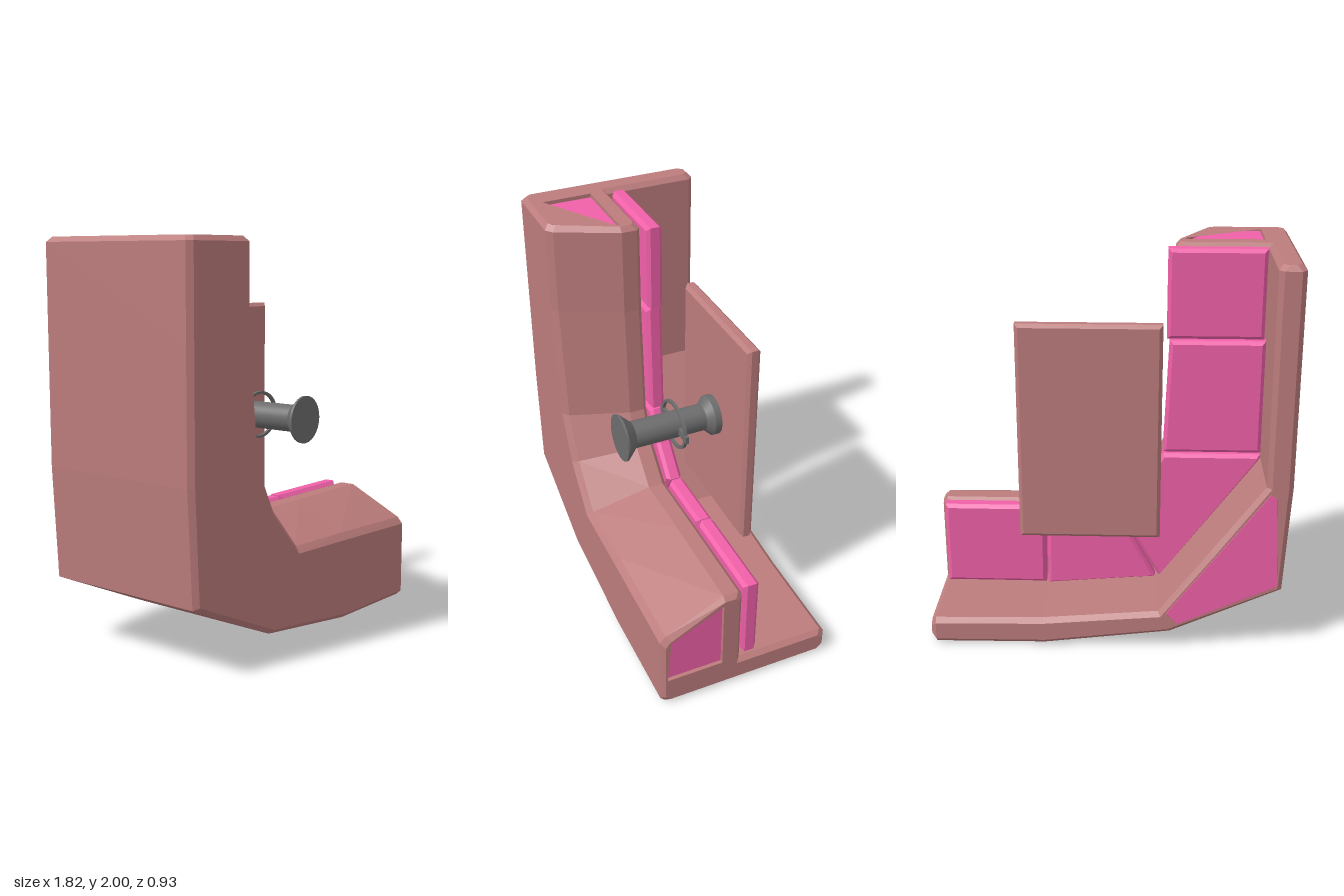
import * as THREE from 'three';
import { toCreasedNormals } from 'three/addons/utils/BufferGeometryUtils.js';

const brown = new THREE.MeshStandardMaterial({ color: 0xbc7c7c, flatShading: true, side: THREE.DoubleSide });
const pink = new THREE.MeshStandardMaterial({ color: 0xf060a8, flatShading: true, side: THREE.DoubleSide });
const grey = new THREE.MeshStandardMaterial({ color: 0x6c6c6c });

// Stations along the bent frame: outer wall, inner wall, front rim, back rim (x, y)
const stations = [
  [[-0.91, 1.975], [-0.78, 1.975], [-0.49, 1.975], [-0.325, 1.975]],
  [[-0.91, 1.53], [-0.78, 1.53], [-0.49, 1.53], [-0.32, 1.53]],
  [[-0.91, 0.9], [-0.78, 0.9], [-0.42, 0.92], [-0.28, 0.93]],
  [[-0.88, 0.34], [-0.52, 0.55], [-0.3, 0.68], [-0.19, 0.75]],
  [[-0.32, 0.085], [-0.26, 0.2], [-0.1, 0.46], [-0.03, 0.595]],
  [[0.32, 0.005], [0.33, 0.15], [0.3, 0.45], [0.34, 0.6]],
  [[0.885, 0], [0.885, 0.14], [0.885, 0.43], [0.885, 0.6]],
].map(s => s.map(p => new THREE.Vector2(...p)));

const toward = (a, b, d) => a.clone().add(b.clone().sub(a).setLength(d));

// Chamfered cross-section at a station; c shrinks it for the chamfered ends
function section([o, m, f, b], c = 0) {
  const O = toward(o, m, c + 1e-5), M = toward(m, o, c + 1e-5), F = toward(f, o, c + 1e-5), B = toward(b, o, c + 1e-5);
  const e = 0.465 - c, k = 0.03 + c;
  return [
    [toward(O, M, 0.025), -e], [O, -e + 0.025], [O, e - 0.025], [toward(O, F, 0.025), e],
    [toward(F, O, 0.015), e], [toward(F, B, 0.02), e - 0.03], [B, 0.13], [B, k + 0.02],
    [toward(B, O, 0.02), k], [M, k], [M, -e + 0.025], [toward(M, O, 0.025), -e],
  ].map(([p, z]) => new THREE.Vector3(p.x, p.y, z));
}

function fromTriangles(points) {
  const g = new THREE.BufferGeometry().setFromPoints(points);
  g.computeVertexNormals();
  return g;
}

// Skin between successive closed loops
function loft(loops) {
  const t = [];
  for (let i = 0; i + 1 < loops.length; i++) {
    const p = loops[i], q = loops[i + 1], n = p.length;
    for (let j = 0; j < n; j++) {
      const k = (j + 1) % n;
      t.push(p[j], q[j], q[k], p[j], q[k], p[k]);
    }
  }
  return fromTriangles(t);
}

// Flat cap with an optional hole; flat() gives the plane coordinates
function cap(loop, hole, flat, normal) {
  const all = [...loop, ...hole];
  const t = [];
  const faces = THREE.ShapeUtils.triangulateShape(loop.map(flat), hole.length ? [hole.map(flat)] : []);
  for (const [a, b, c] of faces) {
    const n = all[b].clone().sub(all[a]).cross(all[c].clone().sub(all[a]));
    t.push(...(n.dot(normal) >= 0 ? [all[a], all[b], all[c]] : [all[a], all[c], all[b]]));
  }
  return fromTriangles(t);
}

const shapeOf = pts => new THREE.Shape(pts.map(p => new THREE.Vector2(...p)));

// Slab with bevelled edges between z0 and z1
function slab(pts, z0, z1, bevel) {
  const g = new THREE.ExtrudeGeometry(shapeOf(pts), {
    depth: z1 - z0 - 2 * bevel, bevelSize: bevel, bevelThickness: bevel, bevelOffset: -bevel, bevelSegments: 1,
  });
  return g.translate(0, 0, z0 + bevel);
}

export function createModel() {
  const model = new THREE.Group();
  const add = (name, geometry, material, parent = model) => {
    const mesh = new THREE.Mesh(geometry, material);
    mesh.name = name;
    parent.add(mesh);
    return mesh;
  };

  // Bent frame with chamfered ends
  const end = (s, dx, dy) => section(s, 0.022).map(p => p.add(new THREE.Vector3(dx, dy, 0)));
  const topLoop = end(stations[0], 0, 0.025);
  const sideLoop = end(stations[6], 0.025, 0);
  add('frame', loft([topLoop, ...stations.map(s => section(s)), sideLoop]), brown);

  // Ends with recessed coloured insets
  const ends = [
    ['top', topLoop, [[-0.77, 0.125], [-0.365, 0.125], [-0.505, 0.43], [-0.77, 0.43]],
      (u, z) => new THREE.Vector3(u, 2, z), p => new THREE.Vector2(p.x, p.z), new THREE.Vector3(0, 1, 0)],
    ['side', sideLoop, [[0.16, 0.135], [0.55, 0.135], [0.405, 0.44], [0.16, 0.44]],
      (u, z) => new THREE.Vector3(0.91, u, z), p => new THREE.Vector2(p.y, p.z), new THREE.Vector3(1, 0, 0)],
  ];
  for (const [name, loop, outline, place, flat, normal] of ends) {
    const hole = outline.map(([u, z]) => place(u, z));
    const deep = hole.map(p => p.clone().addScaledVector(normal, -0.02));
    add(name + 'End', cap(loop, hole, flat, normal), brown);
    add(name + 'InsetRim', loft([hole, deep]), brown);
    add(name + 'Inset', cap(deep, [], flat, normal), pink);
  }

  // Coloured face on the back of the corner gusset
  add('cornerInset', slab([[-0.86, 0.37], [-0.36, 0.14], [-0.3, 0.2], [-0.8, 0.87], [-0.83, 0.85]],
    -0.467, -0.45, 0.001), pink);

  // Padded panels lining the back of the frame
  const panels = [
    [[-0.77, 1.535], [-0.285, 1.535], [-0.285, 1.99], [-0.77, 1.99]],
    [[-0.78, 0.925], [-0.275, 0.925], [-0.3, 1.525], [-0.78, 1.525]],
    [[-0.78, 0.88], [-0.27, 0.19], [-0.04, 0.595], [-0.18, 0.75], [-0.275, 0.915], [-0.78, 0.915]],
    [[-0.25, 0.19], [0.335, 0.14], [0.335, 0.6], [-0.03, 0.6]],
    [[0.345, 0.15], [0.88, 0.15], [0.88, 0.605], [0.345, 0.605]],
  ];
  panels.forEach((pts, i) => add('panel' + (i + 1), slab(pts, -0.073, 0.012, 0.018), pink));

  // Upright board behind
  add('board', slab([[-0.265, 0.515], [0.46, 0.515], [0.46, 1.655], [-0.265, 1.655]], -0.25, -0.18, 0.018), brown);

  // Spool-shaped knob
  const knob = new THREE.Group();
  knob.name = 'knob';
  knob.position.set(0.11, 1.085, 0);
  model.add(knob);
  const profile = [[0, -0.182], [0.105, -0.182], [0.105, -0.145], [0.07, -0.11], [0.07, 0.275],
    [0.085, 0.29], [0.122, 0.33], [0.122, 0.342], [0, 0.342]].map(p => new THREE.Vector2(...p));
  add('spool', toCreasedNormals(new THREE.LatheGeometry(profile, 28).rotateX(Math.PI / 2), 0.5), grey, knob);

  // Thin ring held by two side lugs
  const ring = new THREE.Shape().absellipse(0, 0, 0.145, 0.124, 0, Math.PI * 2);
  ring.holes.push(new THREE.Path().absellipse(0, 0, 0.13, 0.11, 0, Math.PI * 2));
  const ringGeo = new THREE.ExtrudeGeometry(ring, { depth: 0.016, bevelEnabled: false, curveSegments: 16 });
  add('ring', toCreasedNormals(ringGeo.translate(0, 0, 0.034), 0.6), grey, knob);
  for (const s of [-1, 1]) {
    add(s > 0 ? 'leftLug' : 'rightLug', new THREE.BoxGeometry(0.1, 0.04, 0.016), grey, knob).position.set(s * 0.11, 0, 0.042);
  }
  return model;
}
